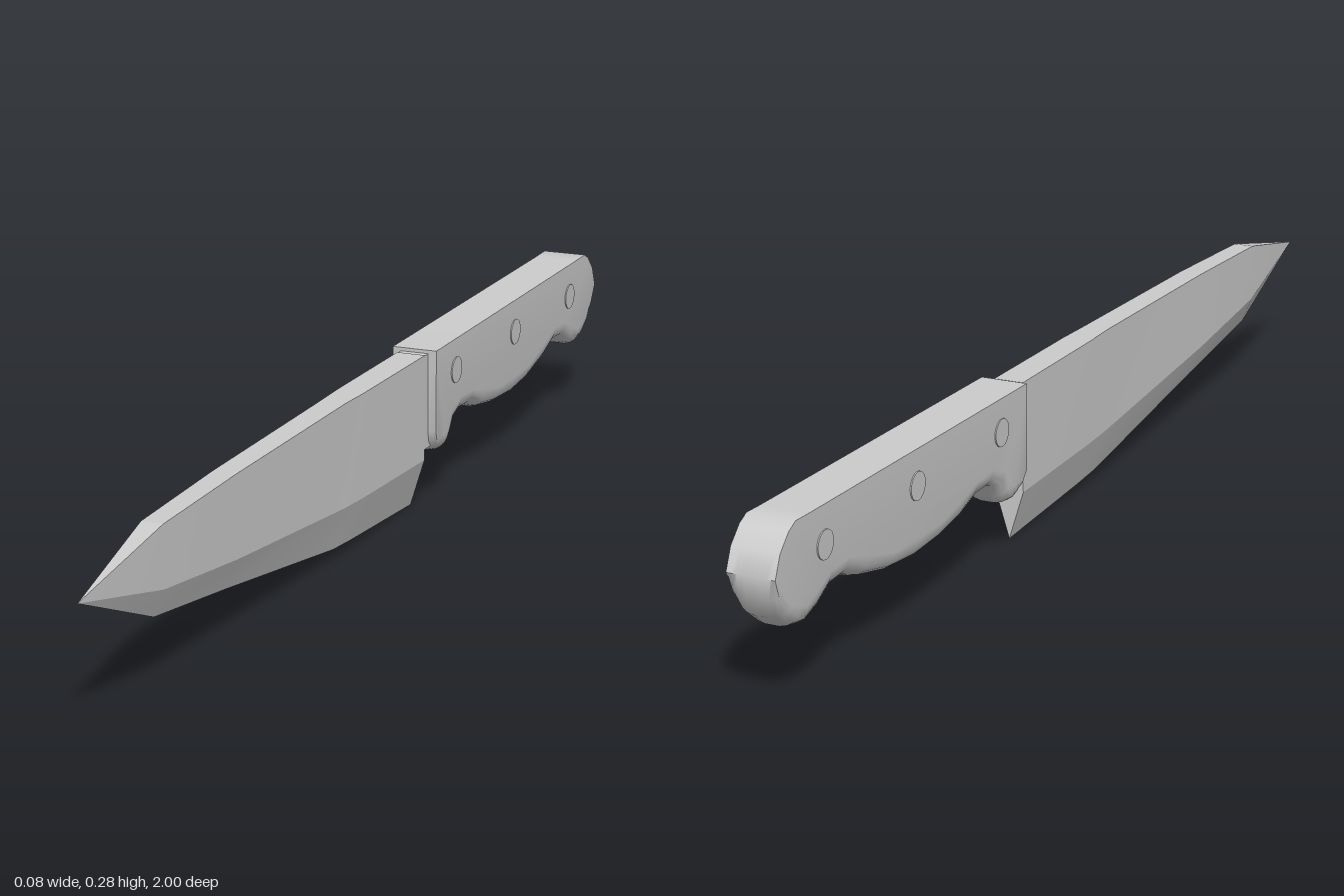
import * as THREE from 'three';
import { toCreasedNormals } from 'three/addons/utils/BufferGeometryUtils.js';

const material = new THREE.MeshStandardMaterial({ color: 0xcccccc });

// Skin a list of rings (each counter-clockwise seen from the first ring's side).
// flat(p) maps a ring point to 2D for the end caps.
function loft(rings, flat, capStart, capEnd, crease) {
  const n = rings[0].length;
  const index = [];
  for (let r = 0; r < rings.length - 1; r++) {
    for (let j = 0; j < n; j++) {
      const a = r * n + j, b = r * n + (j + 1) % n;
      index.push(a, a + n, b + n, a, b + n, b);
    }
  }
  const cap = (r, flip) => {
    const faces = THREE.ShapeUtils.triangulateShape(rings[r].map(flat), []);
    for (const [a, b, c] of faces) {
      const f = flip ? [a, c, b] : [a, b, c];
      index.push(...f.map((i) => r * n + i));
    }
  };
  if (capStart) cap(0, false);
  if (capEnd) cap(rings.length - 1, true);
  const g = new THREE.BufferGeometry();
  g.setAttribute('position', new THREE.Float32BufferAttribute(rings.flat(2), 3));
  g.setIndex(index);
  return toCreasedNormals(g, crease);
}

function part(name, geometry) {
  const mesh = new THREE.Mesh(geometry, material);
  mesh.name = name;
  return mesh;
}

// Blade: five-sided sections from tip to heel
function bladeGeometry() {
  // z, spine height, bevel height, edge height, half thickness
  const sections = [
    [1.0, 0.205, 0.205, 0.205, 0],
    [0.77, 0.255, 0.155, 0.11, 0.018],
    [0.53, 0.263, 0.127, 0.077, 0.02],
    [0.13, 0.268, 0.092, 0.018, 0.022],
    [0.06, 0.268, 0.09, 0.013, 0.0245],
    [-0.195, 0.268, 0.083, 0, 0.0255],
  ];
  const rings = sections.map(([z, top, bevel, edge, w]) => [
    [0, edge, z], [w, bevel, z], [w, top, z], [-w, top, z], [-w, bevel, z],
  ]);
  return loft(rings, (p) => new THREE.Vector2(p[0], p[1]), false, true, 0.12);
}

// Handle: side outline stacked across x, with the belly rounded inward at both sides
function handleGeometry() {
  // z, y, amount of rounding
  const outline = [
    [-0.21, 0.273, 0], [-0.21, 0.13, 0], [-0.214, 0.108, 0.4], [-0.228, 0.092, 0.9],
    [-0.248, 0.085, 1], [-0.272, 0.088, 1], [-0.29, 0.104, 1], [-0.302, 0.124, 1],
    [-0.33, 0.134, 1], [-0.375, 0.132, 1], [-0.43, 0.115, 1], [-0.5, 0.104, 1],
    [-0.58, 0.1, 1], [-0.66, 0.107, 1], [-0.74, 0.125, 1], [-0.795, 0.145, 1],
    [-0.835, 0.143, 1], [-0.87, 0.124, 1], [-0.91, 0.112, 1], [-0.945, 0.118, 1],
    [-0.975, 0.142, 0.8], [-0.993, 0.175, 0.4], [-1.0, 0.21, 0], [-0.985, 0.245, 0],
    [-0.96, 0.27, 0], [-0.94, 0.28, 0], [-0.9, 0.279, 0],
  ];
  const n = outline.length;
  // half width, inset of the belly
  const half = [[0.04, 0.03], [0.038, 0.018], [0.033, 0.009], [0.024, 0.003], [0.012, 0]];
  const layers = [...half, ...half.map(([x, d]) => [-x, d]).reverse()];
  const rings = layers.map(([x, inset]) => outline.map(([z, y, round], i) => {
    const p = outline[(i + n - 1) % n], q = outline[(i + 1) % n];
    const dz = q[0] - p[0], dy = q[1] - p[1], len = Math.hypot(dz, dy);
    const d = inset * round / len;
    return [x, y - dz * d, z + dy * d];
  }));
  return loft(rings, (p) => new THREE.Vector2(-p[2], p[1]), true, true, 0.7);
}

export function createModel() {
  const model = new THREE.Group();
  model.name = 'kitchenKnife';

  model.add(part('blade', bladeGeometry()));
  model.add(part('handle', handleGeometry()));

  // Tang joining blade and handle
  const tang = part('tang', new THREE.BoxGeometry(0.05, 0.166, 0.06));
  tang.position.set(0, 0.184, -0.224);
  model.add(tang);

  // Rivets, just proud of both handle faces
  for (const z of [-0.3, -0.58, -0.86]) {
    const rivet = part('rivet', new THREE.CylinderGeometry(0.023, 0.023, 0.084, 20));
    rivet.rotation.z = Math.PI / 2;
    rivet.position.set(0, 0.218, z);
    model.add(rivet);
  }
  return model;
}
